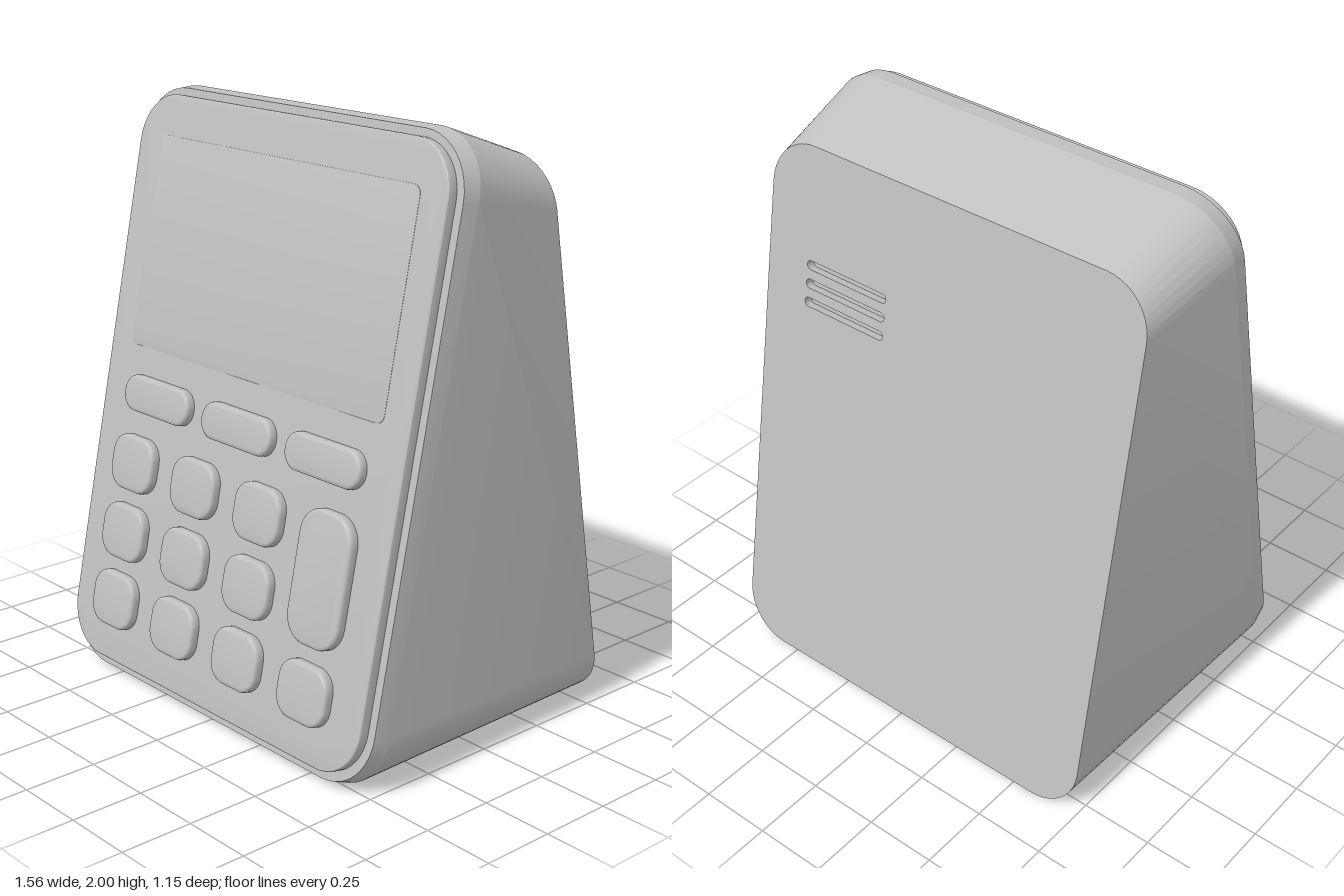
import * as THREE from 'three';
import { toCreasedNormals } from 'three/addons/utils/BufferGeometryUtils.js';

const grey = new THREE.MeshStandardMaterial({ color: 0xc0c0c0 });
grey.name = 'grey plastic';

// Counter-clockwise points of a rounded rectangle centred on (cx, cy)
function roundedRect(w, h, r, cx = 0, cy = 0, n = 10) {
  const points = [];
  const corners = [[1, 1], [-1, 1], [-1, -1], [1, -1]];
  corners.forEach(([sx, sy], c) => {
    for (let i = 0; i <= n; i++) {
      const a = (c + i / n) * Math.PI / 2;
      points.push(new THREE.Vector2(
        cx + sx * (w / 2 - r) + r * Math.cos(a),
        cy + sy * (h / 2 - r) + r * Math.sin(a)));
    }
  });
  return points;
}

// Tilted plane running from a bottom edge (y0, z0) to a top edge (y1, z1)
function tiltedFrame(y0, z0, y1, z1, side = 1) {
  const X = new THREE.Vector3(side, 0, 0);
  const Y = new THREE.Vector3(0, y1 - y0, z1 - z0).normalize();
  const Z = X.clone().cross(Y);
  const matrix = new THREE.Matrix4().makeBasis(X, Y, Z);
  matrix.setPosition(0, (y0 + y1) / 2, (z0 + z1) / 2);
  return { matrix, height: Math.hypot(y1 - y0, z1 - z0) };
}

// Skin joining rings of equal point count, ordered from front to back
function loft(rings, creaseAngle = 0.2) {
  const n = rings[0].length, position = [], index = [];
  rings.forEach(ring => ring.forEach(p => position.push(p.x, p.y, p.z)));
  for (let k = 0; k < rings.length - 1; k++) {
    for (let i = 0; i < n; i++) {
      const a = k * n + i, b = k * n + (i + 1) % n;
      index.push(a, a + n, b, b, a + n, b + n);
    }
  }
  const geometry = new THREE.BufferGeometry();
  geometry.setAttribute('position', new THREE.Float32BufferAttribute(position, 3));
  geometry.setIndex(index);
  return toCreasedNormals(geometry, creaseAngle);
}

function add(parent, geometry, name) {
  const mesh = new THREE.Mesh(geometry, grey);
  mesh.name = name;
  parent.add(mesh);
  return mesh;
}

// Raised pad with a softly rounded rim, standing on local z = 0
function pad(w, h, r, depth, bevel) {
  const shape = new THREE.Shape(roundedRect(w - 2 * bevel, h - 2 * bevel, r - bevel));
  const geometry = new THREE.ExtrudeGeometry(shape, {
    depth: depth - bevel, bevelEnabled: true, bevelSize: bevel, bevelThickness: bevel, bevelSegments: 3,
  });
  return toCreasedNormals(geometry, 0.6);
}

export function createModel() {
  const model = new THREE.Group();
  model.name = 'cardTerminal';

  // Wedge housing: front rim, widest ring, back ring
  const front = tiltedFrame(0.02, 0.545, 1.998, 0.13);
  const ringAt = (frame, w, r) => roundedRect(w, frame.height, r)
    .map(p => new THREE.Vector3(p.x, p.y, 0).applyMatrix4(frame.matrix));
  const belly = tiltedFrame(0, 0.49, 2, 0.07);
  const back = tiltedFrame(0, -0.57, 1.89, -0.245);
  add(model, loft([
    ringAt(front, 1.545, 0.2), ringAt(belly, 1.56, 0.2), ringAt(back, 1.48, 0.17),
  ]), 'housing');

  // Everything on the sloping front face
  const face = new THREE.Group();
  face.name = 'frontFace';
  front.matrix.decompose(face.position, face.quaternion, face.scale);
  model.add(face);
  add(face, new THREE.ShapeGeometry(new THREE.Shape(roundedRect(1.545, front.height, 0.2))), 'frontRim');

  const plateDepth = 0.035, cos = (1.998 - 0.02) / front.height;
  const along = y => (y - 1.009 - 0.009) / cos;
  const place = (x0, x1, y0, y1, r, depth, bevel, z, name) => {
    const mesh = add(face, pad(x1 - x0, (y1 - y0) / cos, r, depth, bevel), name);
    mesh.position.set((x0 + x1) / 2, along((y0 + y1) / 2), z);
  };
  place(-0.743, 0.743, 0.062, 1.982, 0.17, plateDepth, 0.005, 0, 'frontPlate');
  place(-0.63, 0.63, 1.14, 1.845, 0.03, 0.001, 0.0005, plateDepth, 'screen');

  // Keypad
  const key = (x0, x1, y0, y1, r, name) =>
    place(x0, x1, y0, y1, r, 0.032, 0.012, plateDepth, name);
  for (const x of [-0.423, 0, 0.42]) key(x - 0.175, x + 0.175, 0.925, 1.047, 0.06, 'functionKey');
  for (const y of [0.75, 0.513, 0.277]) {
    for (const x of [-0.503, -0.172, 0.16]) key(x - 0.112, x + 0.112, y - 0.093, y + 0.093, 0.07, 'numberKey');
  }
  key(0.37, 0.608, 0.422, 0.845, 0.09, 'enterKey');
  key(0.377, 0.603, 0.184, 0.37, 0.07, 'cornerKey');

  // Back panel with three recessed vent slots
  const rear = new THREE.Group();
  rear.name = 'rear';
  const rearFrame = tiltedFrame(0, -0.57, 1.89, -0.245, -1);
  rearFrame.matrix.decompose(rear.position, rear.quaternion, rear.scale);
  model.add(rear);
  const panel = new THREE.Shape(roundedRect(1.48, rearFrame.height, 0.17));
  for (const y of [0.42, 0.486, 0.552]) {
    const slot = roundedRect(0.34, 0.032, 0.0155, -0.4, y, 6);
    panel.holes.push(new THREE.Path(slot));
    const atDepth = z => slot.map(p => new THREE.Vector3(p.x, p.y, z));
    add(rear, loft([atDepth(-0.03), atDepth(0)], 0.5), 'ventWall');
    add(rear, new THREE.ShapeGeometry(new THREE.Shape(slot)), 'ventFloor').position.z = -0.03;
  }
  add(rear, new THREE.ShapeGeometry(panel), 'backPanel');

  return model;
}
